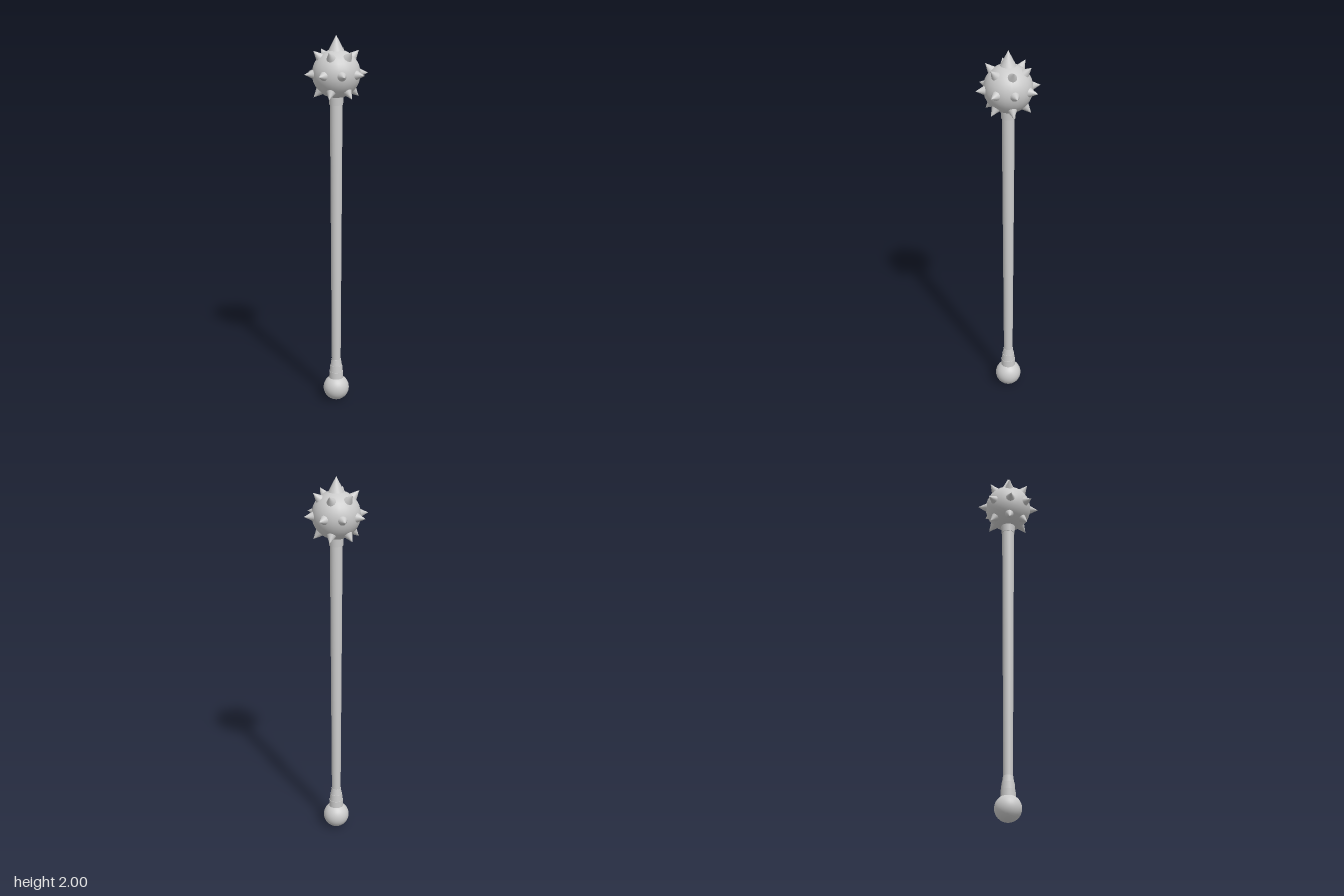
import * as THREE from 'three';

const HEAD_Y = 1.803, HEAD_R = 0.125;

export function createModel() {
  const model = new THREE.Group();
  model.name = 'spikedMace';
  const material = new THREE.MeshStandardMaterial({ color: 0xcccccc });

  const add = (parent, name, geometry, y = 0) => {
    const mesh = new THREE.Mesh(geometry, material);
    mesh.name = name;
    mesh.position.y = y;
    parent.add(mesh);
    return mesh;
  };

  // Tapered round section standing between two heights
  const section = (name, y0, y1, r0, r1) =>
    add(model, name, new THREE.CylinderGeometry(r1, r0, y1 - y0, 24), (y0 + y1) / 2);

  // Pommel ball, stepped grip collar, shaft and neck ring
  add(model, 'pommel', new THREE.SphereGeometry(0.07, 32, 20), 0.07);
  section('gripCollarLower', 0.125, 0.165, 0.039, 0.038);
  section('gripCollarMiddle', 0.165, 0.202, 0.036, 0.033);
  section('gripCollarUpper', 0.202, 0.237, 0.031, 0.026);
  section('shaft', 0.13, 1.66, 0.024, 0.033);
  section('neckRing', 1.643, 1.69, 0.036, 0.039);

  // Head ball
  const head = new THREE.Group();
  head.name = 'head';
  head.position.y = HEAD_Y;
  model.add(head);
  add(head, 'headBall', new THREE.SphereGeometry(HEAD_R, 24, 18));

  // Cone pointing outward from the ball; its base is sunk into the surface
  const up = new THREE.Vector3(0, 1, 0);
  const spike = (name, azimuth, elevation, radius, tip) => {
    const a = THREE.MathUtils.degToRad(azimuth), e = THREE.MathUtils.degToRad(elevation);
    const dir = new THREE.Vector3(Math.cos(a) * Math.cos(e), Math.sin(e), Math.sin(a) * Math.cos(e));
    const base = HEAD_R - 0.01;
    const mesh = add(head, name, new THREE.ConeGeometry(radius, tip - base, 20));
    mesh.position.copy(dir).multiplyScalar((tip + base) / 2);
    mesh.quaternion.setFromUnitVectors(up, dir);
  };

  // Three rings of spikes and the large one on top
  const rings = [
    { name: 'upperSpike', count: 6, start: -21, elevation: 45 },
    { name: 'middleSpike', count: 8, start: -7.7, elevation: 0 },
    { name: 'lowerSpike', count: 6, start: -21, elevation: -45 },
  ];
  for (const { name, count, start, elevation } of rings) {
    for (let i = 0; i < count; i++) {
      spike(name + (i + 1), start + (i * 360) / count, elevation, 0.027, 0.168);
    }
  }
  spike('topSpike', 0, 90, 0.042, 2 - HEAD_Y);

  return model;
}
